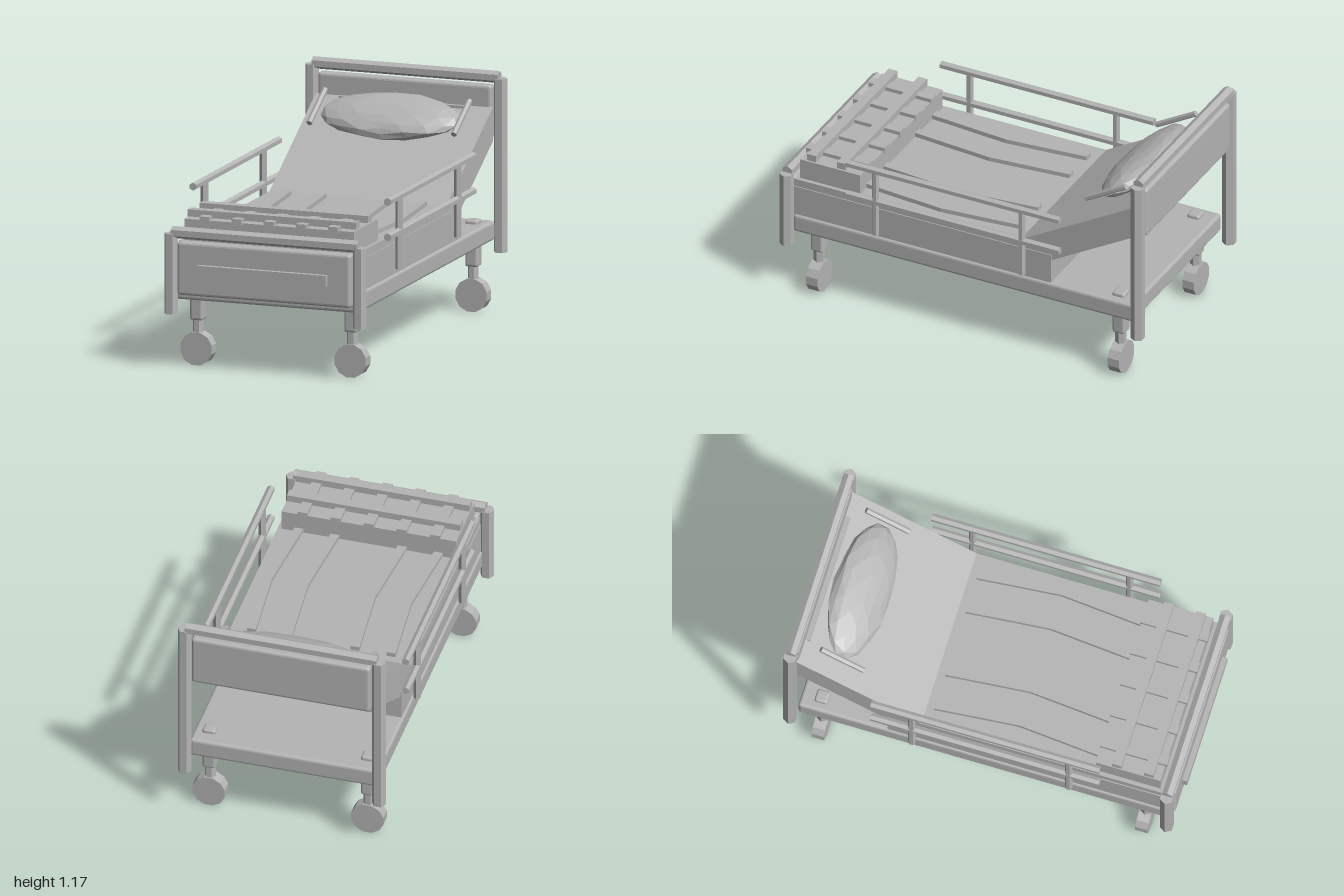
import * as THREE from 'three';
import { RoundedBoxGeometry } from 'three/addons/geometries/RoundedBoxGeometry.js';

const grey = new THREE.MeshStandardMaterial({ color: 0xb4b4b4 });
grey.name = 'plain grey';
grey.flatShading = true;

const TILT = Math.PI / 6; // slope of the raised backrest

export function createModel() {
  const bed = new THREE.Group();
  bed.name = 'hospitalBed';

  function add(name, geometry, x = 0, y = 0, z = 0, parent = bed) {
    const mesh = new THREE.Mesh(geometry, grey);
    mesh.name = name;
    mesh.position.set(x, y, z);
    parent.add(mesh);
    return mesh;
  }
  // Box given by its limits on each axis
  function box(name, x0, x1, y0, y1, z0, z1, radius = 0, parent = bed) {
    const size = [x1 - x0, y1 - y0, z1 - z0];
    const geometry = radius ? new RoundedBoxGeometry(...size, 2, radius) : new THREE.BoxGeometry(...size);
    return add(name, geometry, (x0 + x1) / 2, (y0 + y1) / 2, (z0 + z1) / 2, parent);
  }
  // Six-sided rod along one axis
  function hexRod(axis, radius, length) {
    const g = new THREE.CylinderGeometry(radius, radius, length, 6);
    if (axis === 'z') return g.rotateX(Math.PI / 2);
    g.rotateY(Math.PI / 2);
    return axis === 'x' ? g.rotateZ(Math.PI / 2) : g;
  }

  // Platform
  box('platform', -0.475, 0.475, 0.338, 0.435, -0.93, 0.92, 0.015);

  // Mattress: lower block, and upper layer bent up into the backrest
  box('mattressBase', -0.465, 0.465, 0.43, 0.59, -0.48, 0.92);
  const profile = new THREE.Shape([
    [-0.92, 0.58], [0.45, 0.58], [0.48, 0.56], [0.94, 0.825], [0.94, 0.994], [0.31, 0.63], [-0.92, 0.63],
  ].map(([u, v]) => new THREE.Vector2(u, v)));
  const layer = new THREE.ExtrudeGeometry(profile, { depth: 0.92, bevelEnabled: false });
  add('mattressAndBackrest', layer.rotateY(Math.PI / 2), -0.46);

  // Headboard and footboard share one design; dir is the way the plate faces
  function endBoard(name, z, lift, plateZ) {
    const board = new THREE.Group();
    board.name = name;
    bed.add(board);
    const top = 0.67 + lift;
    for (const x of [-0.49, 0.49]) {
      add('post', hexRod('y', 0.035, top - 0.272), x, (top + 0.272) / 2, z, board);
    }
    add('topBar', hexRod('x', 0.03, 0.966), 0, 0.676 + lift, z, board);
    box('panel', -0.45, 0.45, 0.371 + lift, 0.636 + lift, z - 0.028, z + 0.03, 0.015, board);
    box('plate', -0.333, 0.333, 0.475 + lift, 0.53 + lift, z, plateZ, 0, board);
  }
  endBoard('footboard', 0.945, 0, 1);
  endBoard('headboard', -0.965, 0.462, -0.912);

  // Casters
  for (const x of [-0.4, 0.4]) {
    for (const z of [0.813, -0.828]) {
      const caster = new THREE.Group();
      caster.name = 'caster';
      caster.position.set(x, 0, z);
      bed.add(caster);
      box('leg', -0.033, 0.033, 0.223, 0.455, -0.033, 0.033, 0.012, caster);
      add('stem', hexRod('y', 0.028, 0.11), 0, 0.18, 0, caster);
      const wheel = new THREE.CylinderGeometry(0.084, 0.084, 0.062, 12);
      wheel.rotateY(Math.PI / 12).rotateX(Math.PI / 2);
      add('wheel', wheel, 0, 0.082, 0, caster);
    }
  }

  // Side rails and the short rods beside the pillow
  for (const side of [-1, 1]) {
    const rail = new THREE.Group();
    rail.name = side > 0 ? 'leftRail' : 'rightRail';
    bed.add(rail);
    for (const y of [0.657, 0.832]) add('railBar', hexRod('z', 0.02, 1.16), side * 0.505, y, 0.03, rail);
    for (const z of [0.453, -0.343]) {
      add('railPost', hexRod('y', 0.019, 0.36).rotateY(Math.PI / 2), side * 0.505, 0.65, z, rail);
    }
    const rod = add('pillowRod', hexRod('z', 0.015, 0.25), side * 0.375, 0.974, -0.735);
    rod.rotation.x = TILT;
  }

  // Faceted pillow with slightly uneven surface
  const pillowShape = new THREE.IcosahedronGeometry(1, 2);
  const p = pillowShape.attributes.position;
  for (let i = 0; i < p.count; i++) {
    const [x, y, z] = [p.getX(i), p.getY(i), p.getZ(i)];
    const k = 1 + 0.04 * Math.sin(7 * x + 5 * y + 3 * z);
    p.setXYZ(i, x * 0.36, y * k * 0.064, z * k * 0.157);
  }
  pillowShape.computeVertexNormals();
  add('pillow', pillowShape, 0, 0.95, -0.75).rotation.x = TILT;

  // Wavy folds along the mattress
  const wave = [[-0.27, 0], [-0.05, 0.02], [0.15, 0.037], [0.35, 0.02], [0.58, 0]];
  const outline = [
    ...wave.map(([z, dx]) => new THREE.Vector2(dx + 0.022, z)),
    ...wave.slice().reverse().map(([z, dx]) => new THREE.Vector2(dx - 0.022, z)),
  ];
  for (const x of [-0.352, -0.17, 0.17, 0.352]) {
    const fold = new THREE.ExtrudeGeometry(new THREE.Shape(outline), { depth: 0.03, bevelEnabled: false });
    add('blanketFold', fold.rotateX(Math.PI / 2), x, 0.652, 0);
  }

  // Folded blanket with straps and cross bars
  box('foldedBlanket', -0.44, 0.44, 0.62, 0.735, 0.57, 0.897);
  for (let i = -2; i <= 2; i++) {
    const x = i * 0.167;
    box('strap', x - 0.025, x + 0.025, 0.725, 0.754, 0.565, 0.905);
  }
  for (const z of [0.675, 0.837]) box('crossBar', -0.437, 0.437, 0.74, 0.775, z - 0.024, z + 0.024);

  return bed;
}
